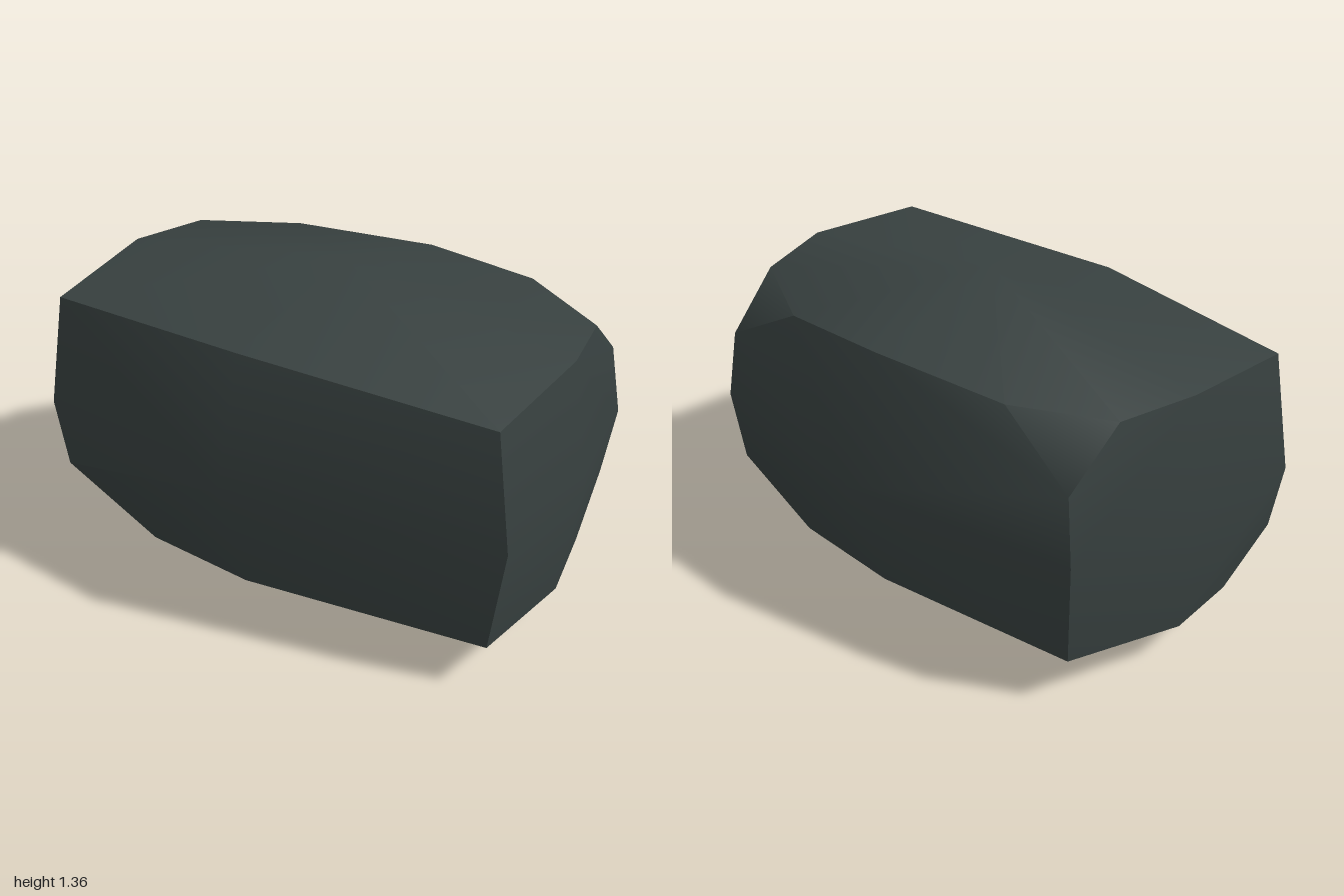
import * as THREE from 'three';
import { ConvexGeometry } from 'three/addons/geometries/ConvexGeometry.js';
import { toCreasedNormals } from 'three/addons/utils/BufferGeometryUtils.js';

export function createModel() {
  const group = new THREE.Group();
  group.name = 'boulder';
  const stone = new THREE.MeshStandardMaterial({ color: 0x384140 });
  stone.name = 'dark stone';

  const MID = 0.68;
  const points = [];
  const add = (x, y, z) => points.push(new THREE.Vector3(x, y, z));
  // the same point above and below the middle height
  const addPair = (x, rise, z) => {
    add(x, MID + rise, z);
    add(x, MID - rise, z);
  };

  // bulging centres of the six sides
  addPair(0.02, 0.68, 0);
  add(-0.13, MID, 0.67);
  add(0.15, MID, -0.675);
  add(1, MID, -0.02);
  add(-0.955, MID, -0.02);

  // middles of the upright edges
  add(-1, MID, 0.48);
  add(0.93, MID, 0.49);
  add(0.93, MID, -0.525);
  add(-0.78, MID, -0.51);

  // middles of the top and bottom edges
  addPair(-0.12, 0.51, 0.52);
  addPair(0.12, 0.51, -0.515);
  addPair(0.93, 0.51, -0.01);
  addPair(-0.9, 0.51, 0);

  // sharp corners
  addPair(0.86, 0.472, 0.46);
  add(-0.93, 1.155, 0.46);
  add(-0.74, 0.21, -0.46);

  // chipped corners: three points each, one along every edge
  addPair(0.55, 0.488, -0.5);
  addPair(0.89, 0.488, -0.3);
  addPair(0.89, 0.285, -0.505);
  add(-0.43, 1.172, -0.45);
  add(-0.79, 1.172, -0.28);
  add(-0.75, 0.96, -0.495);
  add(-0.55, 0.195, 0.495);
  add(-0.955, 0.4, 0.475);
  add(-0.91, 0.195, 0.27);

  // soft sides, hard edges
  const geometry = toCreasedNormals(new ConvexGeometry(points), THREE.MathUtils.degToRad(40));
  const rock = new THREE.Mesh(geometry, stone);
  rock.name = 'rock';
  group.add(rock);
  return group;
}
